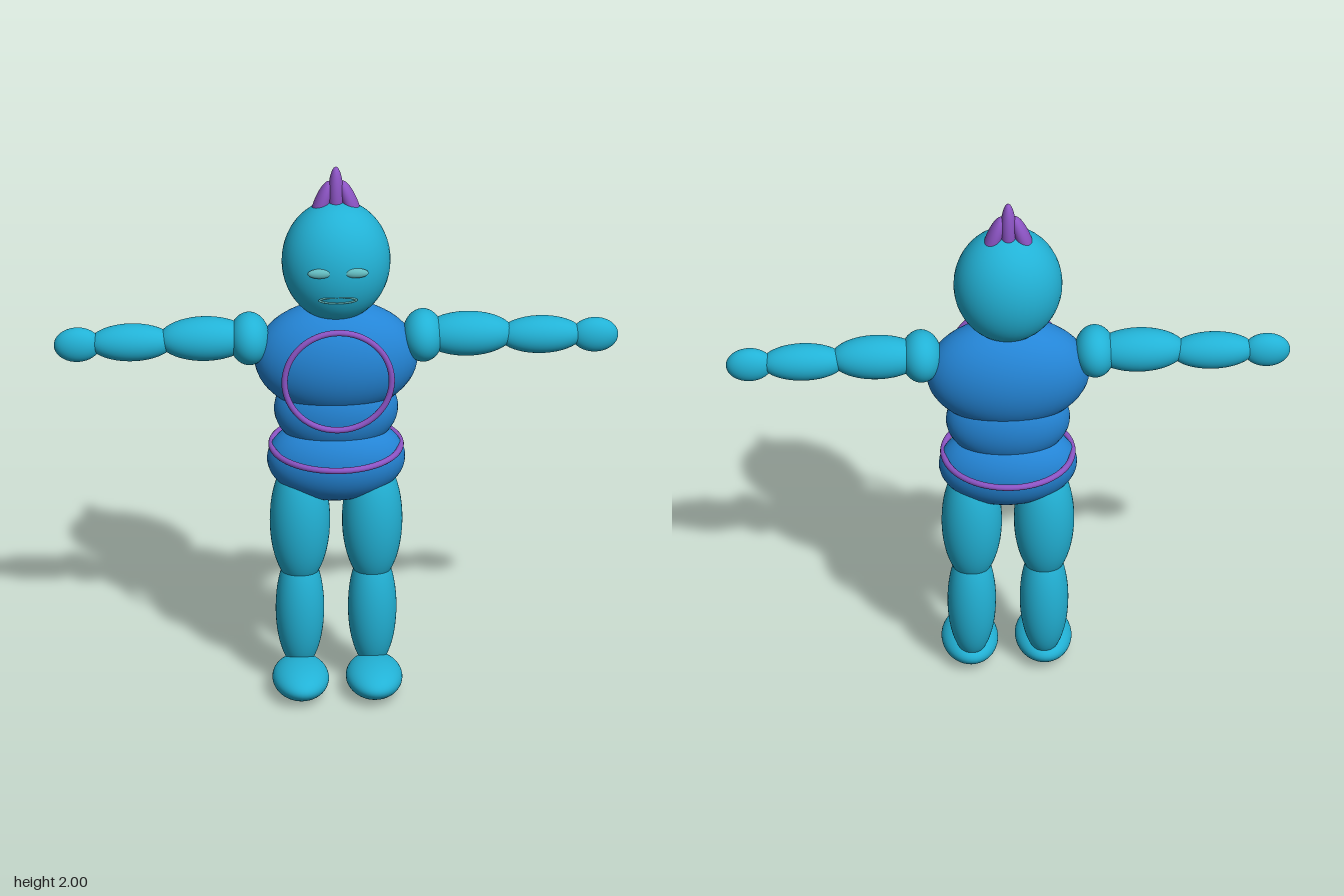
import * as THREE from 'three';

function material(name, color) {
  const m = new THREE.MeshStandardMaterial({ color });
  m.name = name;
  return m;
}

export function createModel() {
  const model = new THREE.Group();
  model.name = 'figure';
  const skin = material('turquoise skin', 0x22b2d6);
  const suit = material('blue suit', 0x2485d6);
  const trim = material('purple trim', 0x8c54c4);
  const pale = material('pale teal face', 0x63bcc0);

  const sphere = new THREE.SphereGeometry(1, 40, 28);

  // Ellipsoid from centre and radii
  function blob(name, mat, [x, y, z], [rx, ry, rz], tilt = 0) {
    const mesh = new THREE.Mesh(sphere, mat);
    mesh.name = name;
    mesh.position.set(x, y, z);
    mesh.scale.set(rx, ry, rz);
    mesh.rotation.z = tilt;
    model.add(mesh);
  }

  function ring(name, mat, radius, tube, [x, y, z]) {
    const mesh = new THREE.Mesh(new THREE.TorusGeometry(radius, tube, 12, 64), mat);
    mesh.name = name;
    mesh.position.set(x, y, z);
    model.add(mesh);
    return mesh;
  }

  // Head and torso
  blob('head', skin, [0, 1.645, -0.006], [0.193, 0.225, 0.162]);
  blob('chest', suit, [0, 1.27, -0.006], [0.29, 0.213, 0.151]);
  blob('waist', suit, [0, 1.07, -0.008], [0.22, 0.165, 0.122]);
  blob('hips', suit, [0, 0.877, -0.005], [0.245, 0.16, 0.137]);

  // Limbs and eyes, mirrored
  for (const [side, s] of [['left', 1], ['right', -1]]) {
    const pair = (part, mat, [x, y, z], radii, tilt = 0) =>
      blob(side + part, mat, [s * x, y, z], radii, s * tilt);
    pair('Shoulder', skin, [0.308, 1.345, -0.006], [0.073, 0.095, 0.094]);
    pair('UpperArm', skin, [0.465, 1.347, -0.008], [0.165, 0.08, 0.076]);
    pair('Forearm', skin, [0.725, 1.337, -0.01], [0.15, 0.068, 0.063]);
    pair('Hand', skin, [0.917, 1.332, -0.01], [0.083, 0.064, 0.045]);
    pair('Thigh', skin, [0.128, 0.635, -0.005], [0.107, 0.25, 0.104]);
    pair('Shin', skin, [0.128, 0.292, -0.005], [0.086, 0.235, 0.087]);
    pair('Foot', skin, [0.13, 0.064, 0.094], [0.1, 0.062, 0.155]);
    pair('Eye', pale, [0.065, 1.663, 0.146], [0.043, 0.018, 0.014]);
    pair('CrestSpike', trim, [0.054, 1.85, -0.024], [0.028, 0.1, 0.036], 0.33);
  }
  blob('middleCrestSpike', trim, [0, 1.88, -0.024], [0.028, 0.12, 0.036]);

  // Mouth: a flattened ring on the face
  ring('mouth', pale, 0.064, 0.006, [0, 1.556, 0.142]).scale.y = 0.18;

  // Chest hoop and belt hoop
  ring('chestRing', trim, 0.19, 0.011, [0, 1.243, 0.152]);
  ring('beltRing', trim, 0.229, 0.011, [0, 0.926, -0.008]).rotation.x = Math.PI / 2;

  return model;
}
